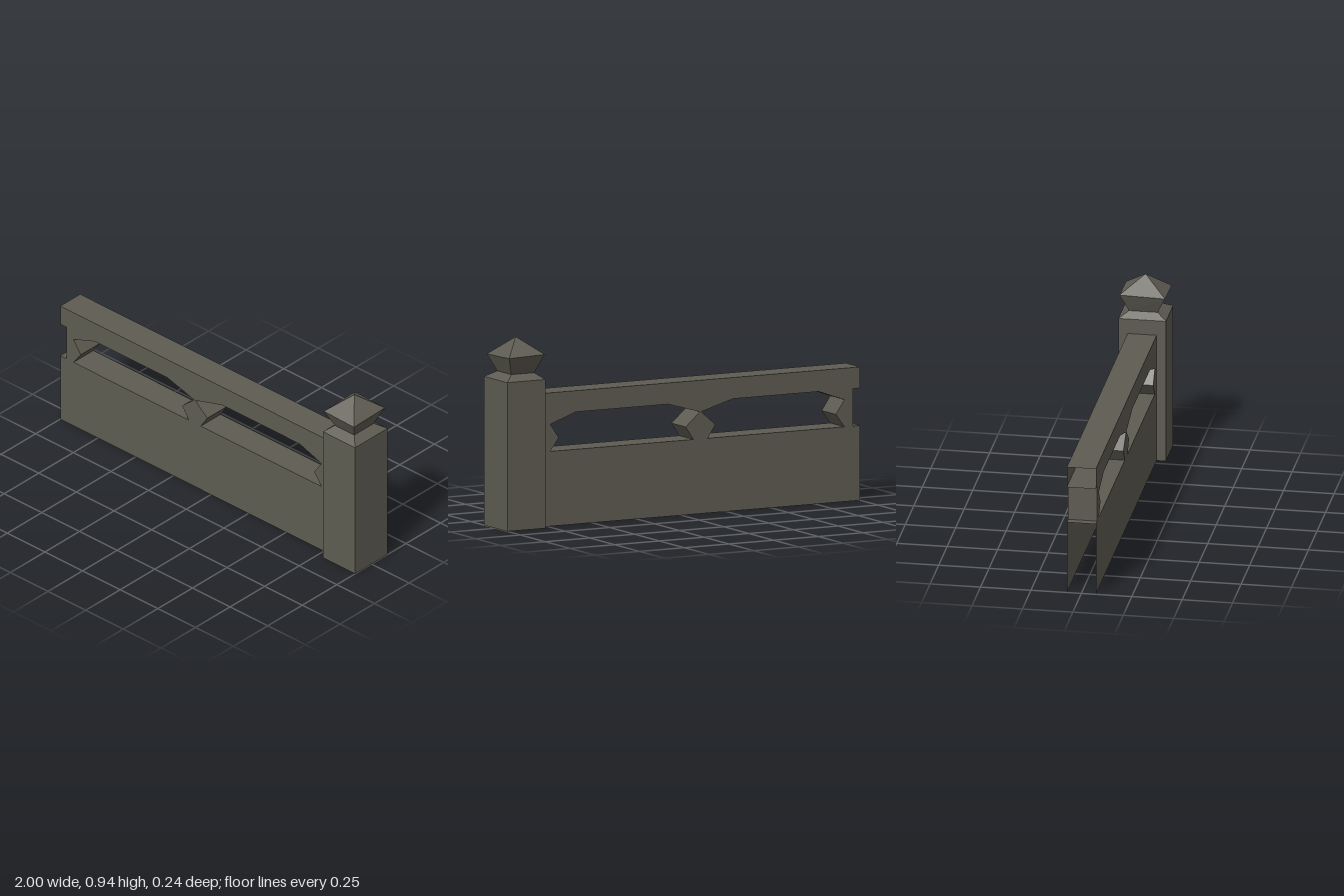
import * as THREE from 'three';

const stone = new THREE.MeshStandardMaterial({ color: 0x5e5c52, side: THREE.DoubleSide });
stone.name = 'darkStone';

const DEPTH = 0.072; // half thickness of wall, rail and balusters
const POST_X = 0.787; // where the wall meets the post

// Flat-faced skin stretched between successive cross-sections of [x, y, z] points
function loft(name, rings, closed = true) {
  const pos = [];
  const n = rings[0].length;
  for (let i = 0; i < rings.length - 1; i++) {
    for (let j = 0; j < (closed ? n : n - 1); j++) {
      const k = (j + 1) % n;
      const [a, b, c, d] = [rings[i][j], rings[i][k], rings[i + 1][k], rings[i + 1][j]];
      pos.push(...a, ...b, ...c, ...a, ...c, ...d);
    }
  }
  const g = new THREE.BufferGeometry();
  g.setAttribute('position', new THREE.Float32BufferAttribute(pos, 3));
  g.computeVertexNormals();
  const mesh = new THREE.Mesh(g, stone);
  mesh.name = name;
  return mesh;
}

// Long hollow bar along x, open at its ends
function bar(name, y0, y1, closed) {
  const section = x => [[x, y0, -DEPTH], [x, y1, -DEPTH], [x, y1, DEPTH], [x, y0, DEPTH]];
  return loft(name, [section(-1), section(POST_X)], closed);
}

// Rectangular ring around the vertical axis; tilt raises the back left corners
function ring(cx, y, hx, hz, tilt = 0) {
  return [[cx - hx, y, hz], [cx + hx, y - tilt, hz], [cx + hx, y, -hz], [cx - hx, y + tilt, -hz]];
}

// Carved solid cut through the full thickness of the wall
function carved(name, points) {
  const shape = new THREE.Shape(points.map(([x, y]) => new THREE.Vector2(x, y)));
  const g = new THREE.ExtrudeGeometry(shape, { depth: DEPTH * 2, bevelEnabled: false });
  g.translate(0, 0, -DEPTH);
  const mesh = new THREE.Mesh(g, stone);
  mesh.name = name;
  return mesh;
}

export function createModel() {
  const model = new THREE.Group();
  model.name = 'balustrade';

  // Solid lower wall (open underneath) and top rail
  model.add(bar('lowerWall', 0, 0.37, false), bar('topRail', 0.555, 0.66, true));

  // Middle baluster: five-sided knob under a flared bracket
  const mid = -0.107;
  const baluster = new THREE.Group();
  baluster.name = 'middleBaluster';
  baluster.add(
    carved('knob', [[mid - 0.04, 0.37], [mid + 0.04, 0.37], [mid + 0.083, 0.435],
      [mid + 0.004, 0.504], [mid - 0.004, 0.504], [mid - 0.083, 0.435]]),
    carved('bracket', [[mid - 0.004, 0.504], [mid + 0.004, 0.504],
      [mid + 0.182, 0.555], [mid - 0.182, 0.555]]),
  );
  model.add(baluster);

  // Half balusters against both ends
  for (const [name, edge, s] of [['rightEndBaluster', -0.96, 1], ['leftEndBaluster', 0.782, -1]]) {
    const profile = [[0, 0.37], [0.048, 0.37], [0.096, 0.435], [0.048, 0.504], [0.192, 0.555], [0, 0.555]];
    model.add(carved(name, profile.map(([x, y]) => [edge + s * x, y])));
  }

  // End post with sloped shoulder, open underneath
  const px = 0.893, fx = 0.887;
  model.add(loft('endPost', [
    ring(px, 0, 0.107, 0.118),
    ring(px, 0.736, 0.107, 0.118),
    ring(fx, 0.766, 0.064, 0.071),
  ]));

  // Slightly crooked pointed finial
  model.add(loft('finial', [
    ring(fx, 0.766, 0.064, 0.071),
    ring(fx, 0.853, 0.1, 0.113, 0.006),
    ring(fx, 0.94, 0, 0),
  ]));

  return model;
}
